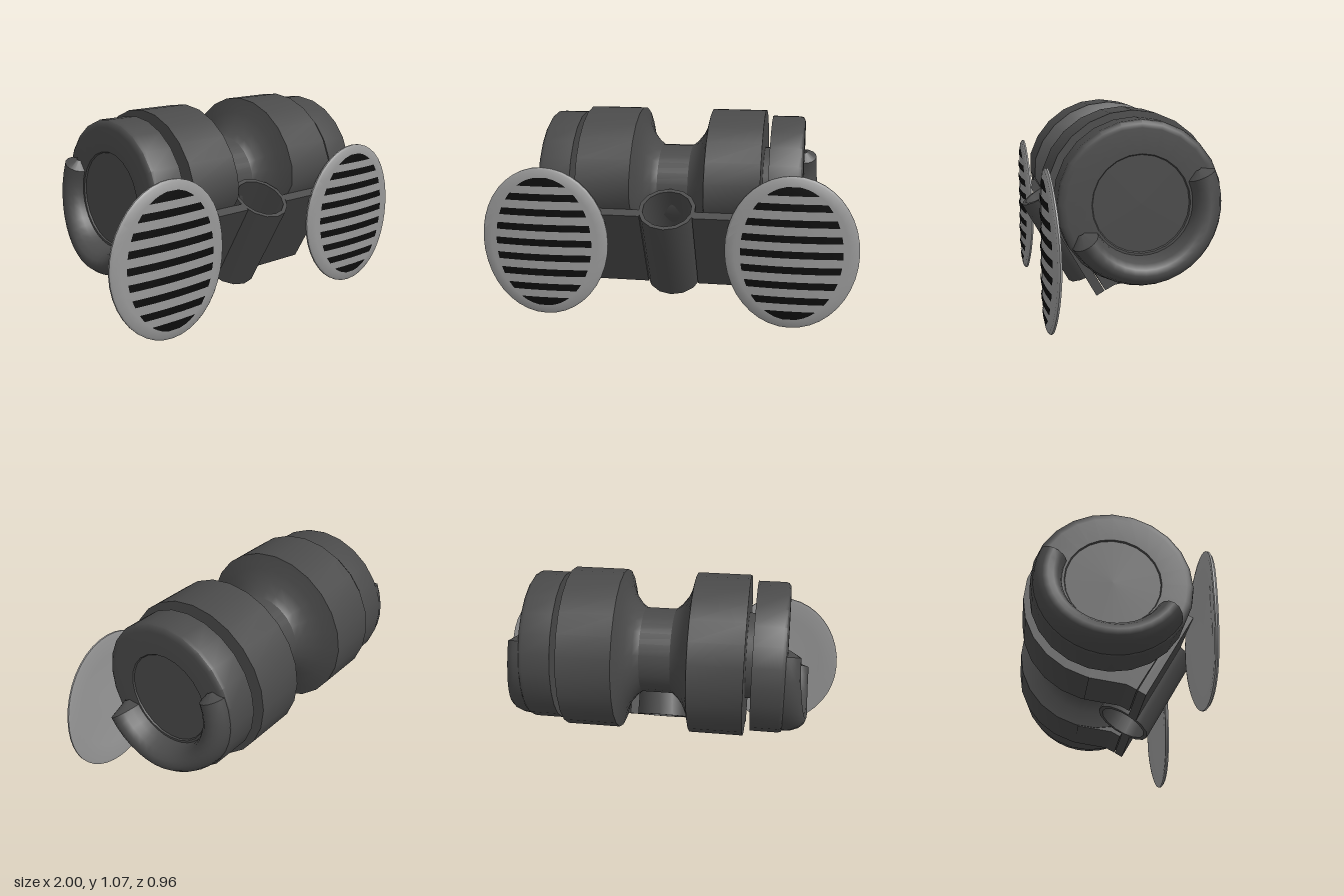
import * as THREE from 'three';
import { toCreasedNormals } from 'three/addons/utils/BufferGeometryUtils.js';

const CY = 0.64, CZ = -0.04; // drum axis
const TILT = Math.PI / 6;

const mat = (name, color) => {
  const m = new THREE.MeshStandardMaterial({ color });
  m.name = name;
  return m;
};

// Turned part along the x axis from [x, radius] pairs
function turned(profile, sides) {
  const g = new THREE.LatheGeometry(profile.map(([x, r]) => new THREE.Vector2(r, x)), sides);
  return g.rotateZ(-Math.PI / 2);
}

// Move every vertex by a rule
function reshape(g, rule) {
  const p = g.attributes.position, v = new THREE.Vector3();
  for (let i = 0; i < p.count; i++) {
    rule(v.fromBufferAttribute(p, i));
    p.setXYZ(i, v.x, v.y, v.z);
  }
  g.computeVertexNormals();
  return g;
}

// Half-round crescent grip swept around the end cap, s = side
function gripGeometry(s) {
  const N = 18, M = 8, pos = [], idx = [];
  const a0 = -32, a1 = -204;
  for (let i = -1; i <= N + 1; i++) {
    const tip = i < 0 || i > N;
    const t = Math.min(1, Math.max(0, i / N));
    const a = THREE.MathUtils.degToRad(a0 + (a1 - a0) * t + (i < 0 ? 7 : i > N ? -6 : 0));
    const w = tip ? 0.015 : 0.072;
    const h = tip ? 0.02 : 0.138 - 0.062 * THREE.MathUtils.smoothstep(t, 0.3, 1);
    for (let j = 0; j <= M; j++) {
      const b = Math.PI * j / M, r = 0.327 + w * Math.cos(b);
      pos.push(s * (0.692 + h * Math.sin(b)), CY + r * Math.sin(a), CZ + r * Math.cos(a));
    }
  }
  for (let i = 0; i < N + 2; i++) for (let j = 0; j < M; j++) {
    const a = i * (M + 1) + j, b = a + 1, c = a + M + 1, d = c + 1;
    if (s > 0) idx.push(a, b, c, b, d, c);
    else idx.push(a, c, b, b, c, d);
  }
  const g = new THREE.BufferGeometry();
  g.setAttribute('position', new THREE.Float32BufferAttribute(pos, 3));
  g.setIndex(idx);
  return toCreasedNormals(g, 0.8);
}

// Bowed surface of the grille discs
const bow = (x, y) => -0.032 * (x / 0.345) ** 2 - 0.012 * (y / 0.41) ** 4;

export function createModel() {
  const root = new THREE.Group();
  const dark = mat('dark body', 0x4a4a4a);
  const grey = mat('grille grey', 0x989898);
  const black = mat('slot black', 0x0c0c0c);
  dark.side = THREE.DoubleSide;
  const add = (parent, name, geo, m) => {
    const mesh = new THREE.Mesh(geo, m);
    mesh.name = name;
    parent.add(mesh);
    return mesh;
  };

  // Waisted drum, flattened where the tilted mounting plate sits
  const half = [[0.04, 0.219], [0.08, 0.232], [0.115, 0.26], [0.15, 0.305], [0.175, 0.36], [0.195, 0.44], [0.485, 0.44], [0.485, 0.23]];
  const profile = [...half.map(([x, r]) => [-x, r]).reverse(), [0, 0.215], ...half];
  const drum = reshape(turned(profile, 24), v => {
    const over = v.z * Math.cos(TILT) - v.y * Math.sin(TILT) - 0.366;
    if (over > 0) {
      v.z -= over * Math.cos(TILT);
      v.y += over * Math.sin(TILT);
    }
  });
  add(root, 'drum', toCreasedNormals(drum, 0.6), dark).position.set(0, CY, CZ);

  // Neck joining the drum to its end caps
  add(root, 'neck', turned([[-0.53, 0.235], [0.53, 0.235]], 24), dark).position.set(0, CY, CZ);

  // Tilted holder: open tube with a flange plate on each side
  const holder = new THREE.Group();
  holder.name = 'holder';
  holder.position.set(0, 0.383, 0.22);
  holder.rotation.x = TILT;
  root.add(holder);
  const L = 0.2575;
  const tube = new THREE.LatheGeometry(
    [[0.13, -L], [0.152, -L], [0.152, L], [0.13, L], [0.13, -L]].map(p => new THREE.Vector2(...p)), 14);
  add(holder, 'holderTube', toCreasedNormals(tube, 0.6), dark);

  for (const s of [1, -1]) {
    const flange = add(holder, 'flangePlate', new THREE.BoxGeometry(0.345, 2 * L, 0.048), dark);
    flange.position.set(s * 0.3125, 0, 0.039);

    // Fairing between the drum underside and the plate
    const shape = new THREE.Shape(
      [[0.1, 0.155], [0.22, 0.36], [-0.08, 0.4], [-0.14, 0.21], [0.05, 0.182]].map(p => new THREE.Vector2(...p)));
    const fairing = new THREE.ExtrudeGeometry(shape, { depth: 0.285, bevelEnabled: false });
    fairing.rotateY(-Math.PI / 2).translate(s > 0 ? 0.485 : -0.2, 0, 0);
    add(root, 'fairing', fairing, dark);

    // End cap with a rounded outer rim and a shallow central disc
    const cap = turned([[0.523, 0.2], [0.523, 0.41], [0.672, 0.41], [0.688, 0.405], [0.698, 0.39],
      [0.7, 0.37], [0.698, 0.245], [0.69, 0.24], [0.69, 0]], 24);
    const capMesh = add(root, 'endCap', toCreasedNormals(cap, 0.7), dark);
    capMesh.position.set(0, CY, CZ);
    if (s < 0) capMesh.rotation.z = Math.PI;

    add(root, 'grip', gripGeometry(s), dark);

    // Oval grille disc, bowed forward in the middle
    const grille = new THREE.Group();
    grille.name = 'grille';
    grille.position.set(s * 0.655, 0.415, 0.437);
    root.add(grille);
    const section = [[0, -0.022], [0.35, -0.022], [0.7, -0.022], [0.95, -0.022], [1, -0.017],
      [1, -0.008], [0.97, 0], [0.85, 0], [0.6, 0], [0.3, 0], [0, 0]];
    const disc = new THREE.LatheGeometry(section.map(p => new THREE.Vector2(...p)), 40).rotateX(Math.PI / 2);
    reshape(disc, v => {
      v.x *= 0.345;
      v.y *= 0.405;
      v.z += bow(v.x, v.y);
    });
    add(grille, 'grilleDisc', toCreasedNormals(disc, 0.6), grey);

    // Dark slots, shortened to follow an inner oval
    for (let i = -4; i <= 4; i++) {
      const slot = new THREE.PlaneGeometry(2, 2, 12, 4);
      reshape(slot, v => {
        const y = i * 0.0825 + v.y * (Math.abs(i) === 4 ? 0.023 : 0.019);
        v.x *= 0.262 * Math.sqrt(Math.max(0, 1 - (y / 0.356) ** 2));
        v.y = y;
        v.z = bow(v.x, y) + 0.004;
      });
      add(grille, 'slot', slot, black);
    }
  }
  return root;
}
